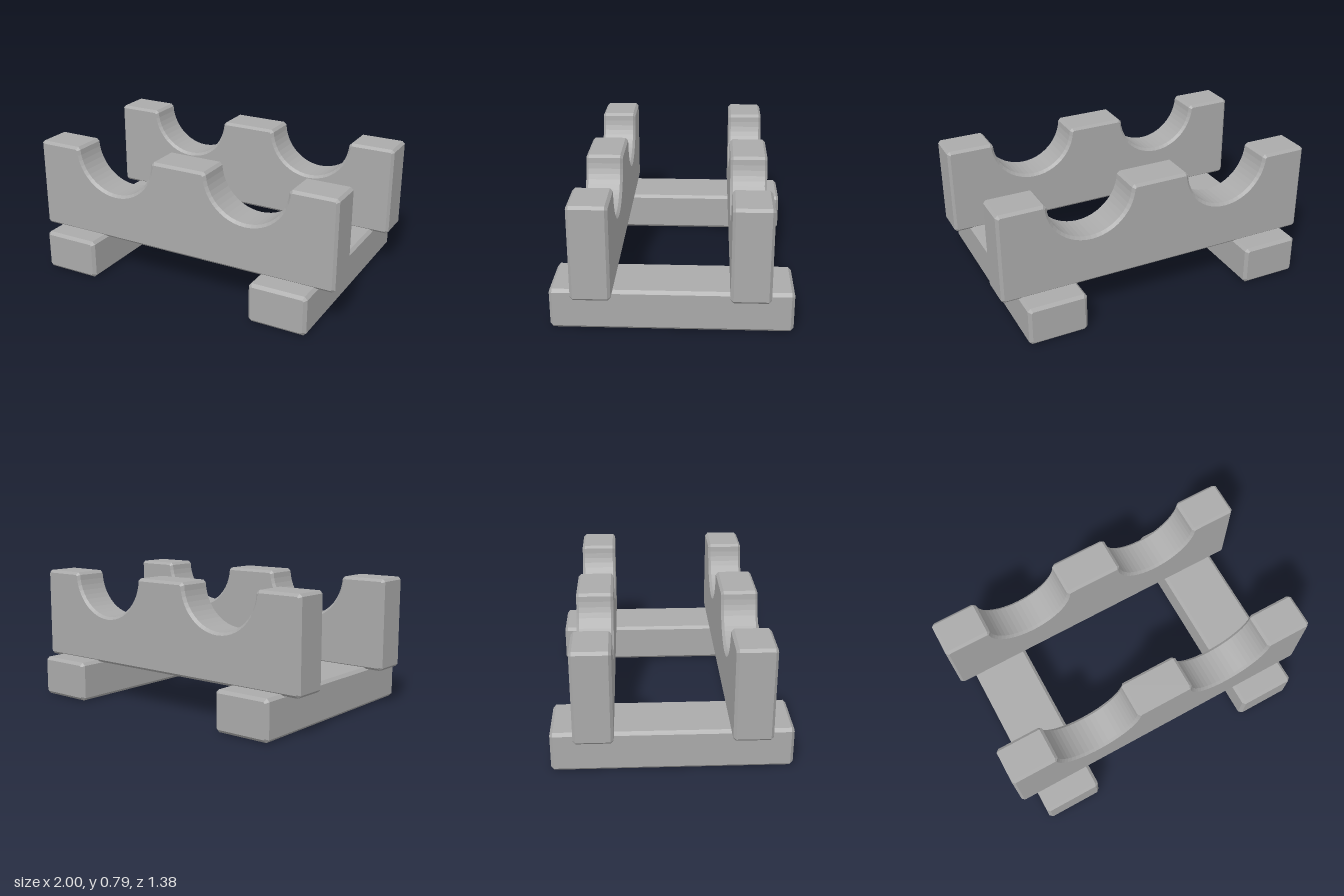
import * as THREE from 'three';

// Solid from a side profile, centred on z, with chamfered front and back edges
function chamferedSolid(points, depth, c) {
  const shape = new THREE.Shape(points.map(([x, y]) => new THREE.Vector2(x, y)));
  const geometry = new THREE.ExtrudeGeometry(shape, {
    depth: depth - 2 * c,
    bevelEnabled: true,
    bevelThickness: c,
    bevelSize: c,
    bevelOffset: -c,
    bevelSegments: 1,
  });
  geometry.translate(0, 0, c - depth / 2);
  return geometry;
}

// Rectangular profile with cut corners
function barProfile(w, h, c) {
  return [
    [-w + c, 0], [w - c, 0], [w, c], [w, h - c],
    [w - c, h], [-w + c, h], [-w, h - c], [-w, c],
  ];
}

// Upright profile with two round cradles in its top edge
function cradleProfile(bottom, top, c) {
  const radius = 0.262, centre = 0.445, steps = 24;
  const points = [
    [-1 + c, bottom], [1 - c, bottom], [1, bottom + c], [1, top - c], [1 - c, top],
  ];
  const start = Math.asin(c / radius);
  for (const cx of [centre, -centre]) {
    points.push([cx + radius + c, top]);
    for (let i = 0; i <= steps; i++) {
      const a = -start - (Math.PI - 2 * start) * (i / steps);
      points.push([cx + radius * Math.cos(a), top + radius * Math.sin(a)]);
    }
    points.push([cx - radius - c, top]);
  }
  points.push([-1 + c, top], [-1, top - c], [-1, bottom + c]);
  return points;
}

export function createModel() {
  const group = new THREE.Group();
  const grey = new THREE.MeshStandardMaterial({ color: 0xaaaaaa, flatShading: true });
  grey.name = 'grey';

  const footGeometry = chamferedSolid(barProfile(0.18, 0.243, 0.018), 1.38, 0.018);
  const cradleGeometry = chamferedSolid(cradleProfile(0.232, 0.792, 0.016), 0.225, 0.016);

  for (const side of [1, -1]) {
    // Floor beams running front to back
    const foot = new THREE.Mesh(footGeometry, grey);
    foot.name = side > 0 ? 'leftFootBeam' : 'rightFootBeam';
    foot.position.x = side * 0.715;

    // Upright cradles across the beams
    const cradle = new THREE.Mesh(cradleGeometry, grey);
    cradle.name = side > 0 ? 'frontCradle' : 'backCradle';
    cradle.position.z = side * 0.441;

    group.add(foot, cradle);
  }
  return group;
}
